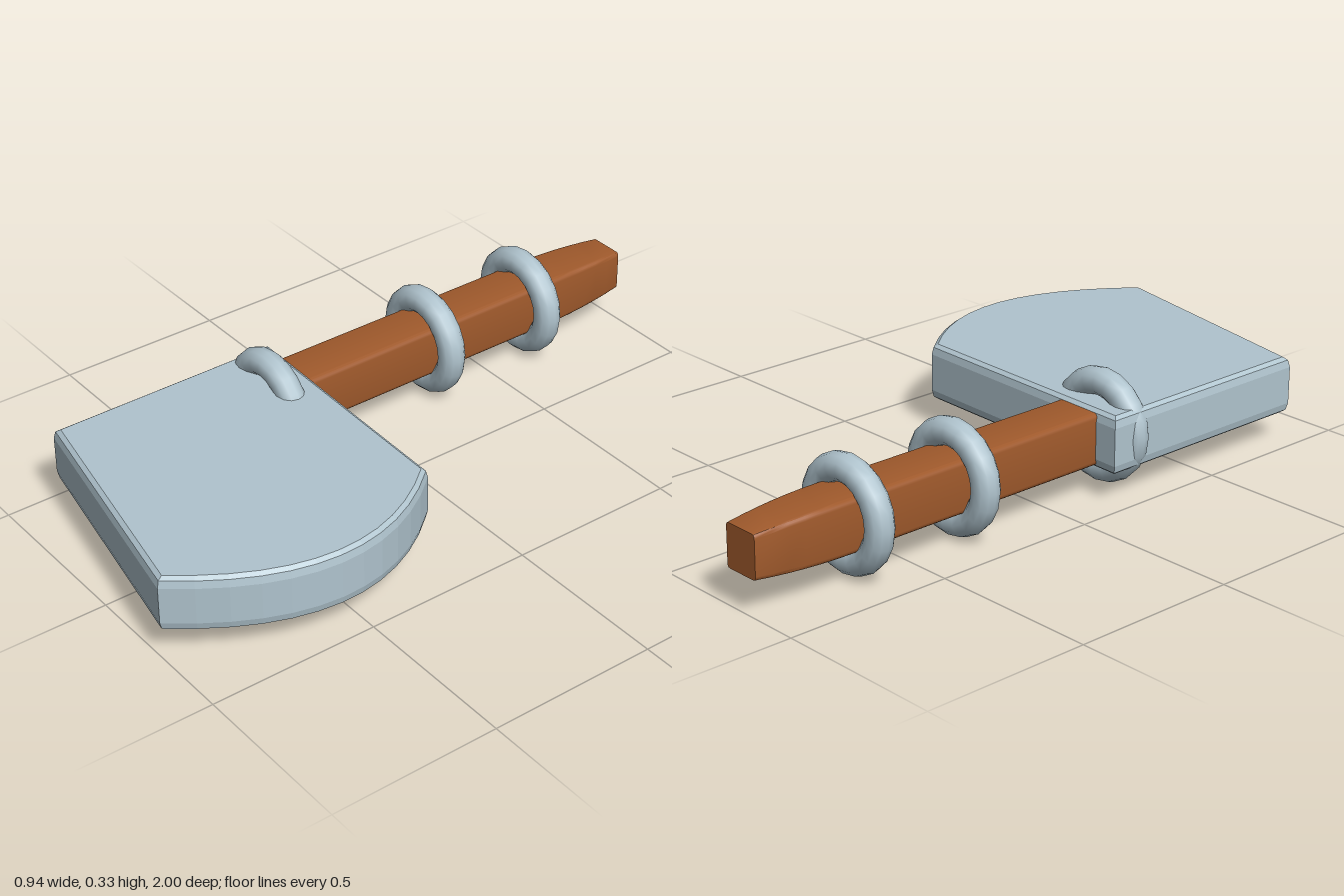
import * as THREE from 'three';
import { toCreasedNormals } from 'three/addons/utils/BufferGeometryUtils.js';

const CX = -0.31, CY = 0.167; // handle axis

export function createModel() {
  const group = new THREE.Group();
  const metal = new THREE.MeshStandardMaterial({ color: 0xb0c4ce });
  const wood = new THREE.MeshStandardMaterial({ color: 0xa05a2c });

  const add = (name, geometry, material) => {
    const mesh = new THREE.Mesh(geometry, material);
    mesh.name = name;
    group.add(mesh);
    return mesh;
  };

  // Blade: plan outline (shape y = -z) with a curved cutting edge, bevelled all round
  const outline = new THREE.Shape();
  outline.moveTo(-0.46, -0.86);
  outline.lineTo(0.27, -1.0);
  outline.quadraticCurveTo(0.645, -0.555, 0.305, -0.17);
  outline.lineTo(-0.46, -0.15);
  outline.closePath();
  const blade = new THREE.ExtrudeGeometry(outline, {
    depth: 0.11, curveSegments: 12,
    bevelThickness: 0.03, bevelSize: 0.017, bevelOffset: -0.017, bevelSegments: 2,
  });
  blade.rotateX(-Math.PI / 2).translate(0, CY - 0.055, 0);
  add('blade', blade, metal);

  // Handle: rounded square bar, narrowing towards the free end
  const h = 0.076, r = 0.014;
  const section = new THREE.Shape();
  section.moveTo(h, -h + r);
  section.lineTo(h, h - r);
  section.quadraticCurveTo(h, h, h - r, h);
  section.lineTo(-h + r, h);
  section.quadraticCurveTo(-h, h, -h, h - r);
  section.lineTo(-h, -h + r);
  section.quadraticCurveTo(-h, -h, -h + r, -h);
  section.lineTo(h - r, -h);
  section.quadraticCurveTo(h, -h, h, -h + r);
  const bar = new THREE.ExtrudeGeometry(section, {
    depth: 1.2, steps: 24, curveSegments: 3, bevelEnabled: false,
  });
  bar.translate(0, 0, -1);
  const p = bar.attributes.position;
  for (let i = 0; i < p.count; i++) {
    const t = Math.max(0, (-0.7 - p.getZ(i)) / 0.3) ** 2;
    p.setXY(i, p.getX(i) * (1 - 0.26 * t), p.getY(i) * (1 - 0.18 * t));
  }
  bar.translate(CX, CY, 0);
  add('handle', toCreasedNormals(bar, 0.6), wood);

  // Rings around the handle and the blade's corner
  const ring = new THREE.TorusGeometry(0.126, 0.04, 12, 20);
  [['bladeRing', 0.25], ['middleRing', -0.3], ['endRing', -0.66]].forEach(([name, z]) => {
    add(name, ring, metal).position.set(CX, CY, z);
  });

  return group;
}
